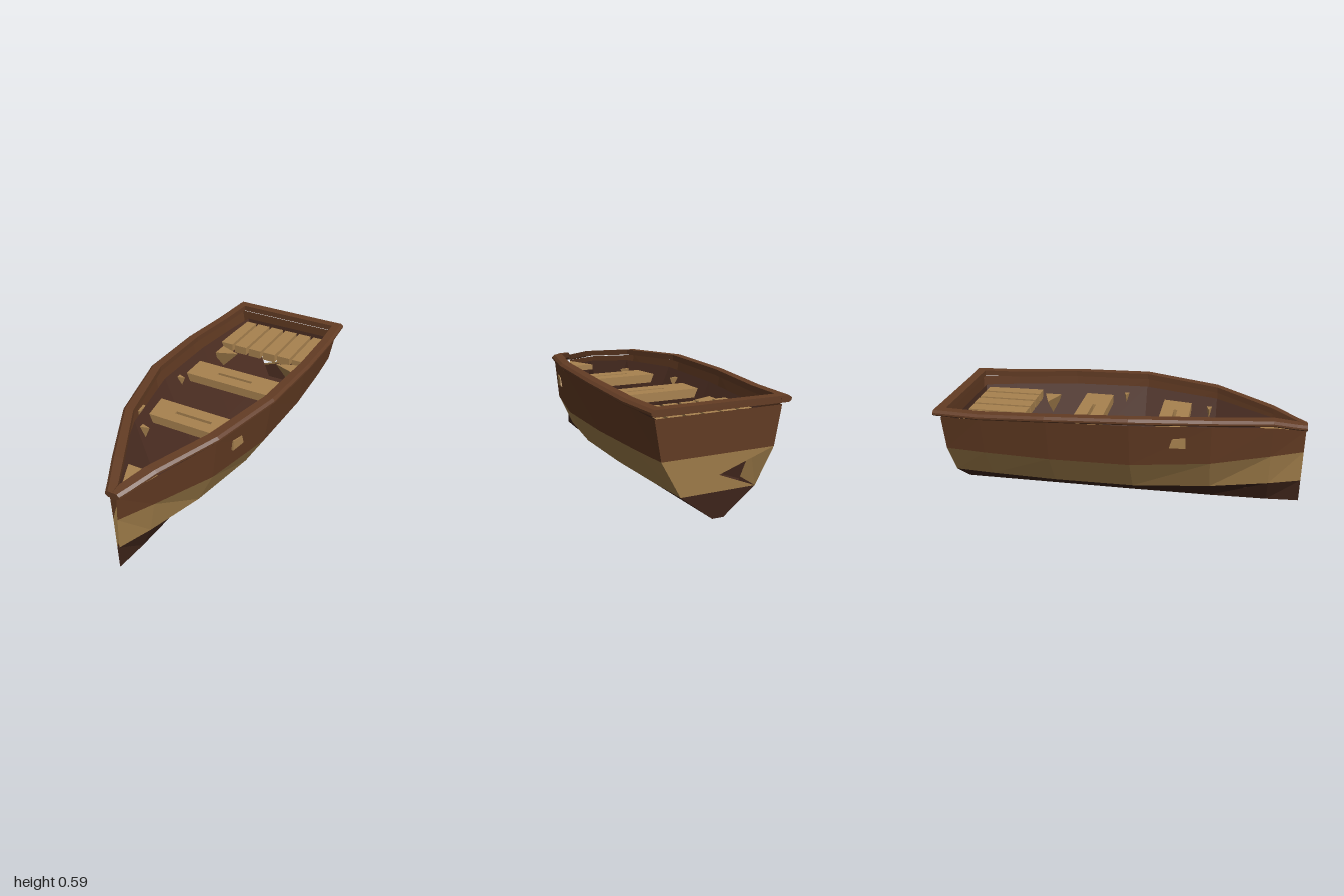
import * as THREE from 'three';

const mat = (color) => new THREE.MeshStandardMaterial({ color, flatShading: true, side: THREE.DoubleSide });
const brown = mat(0x613a22), gold = mat(0x9c7a48), dark = mat(0x3c2319), rim = mat(0x633c24), inside = mat(0x4c2e22), wood = mat(0xa8824f);

// hull stations: z, half-widths at the four levels, sheer height
const stations = [
  [-0.97, 0.03, 0.2, 0.3, 0.335, 0.508],
  [-0.74, 0.03, 0.215, 0.32, 0.352, 0.52],
  [-0.37, 0.03, 0.23, 0.34, 0.372, 0.54],
  [0.07, 0.03, 0.225, 0.333, 0.364, 0.55],
  [0.49, 0.025, 0.16, 0.245, 0.268, 0.532],
  [0.81, 0.015, 0.07, 0.1, 0.12, 0.487],
  [0.99, 0.002, 0.006, 0.012, 0.018, 0.442],
];
// rail stations: z, outer x, inner x, top height
const railStations = [
  [-1, 0.365, 0.305, 0.557], [-0.74, 0.382, 0.322, 0.557], [-0.37, 0.398, 0.34, 0.577], [0.07, 0.385, 0.325, 0.59],
  [0.49, 0.285, 0.222, 0.57], [0.81, 0.13, 0.062, 0.525], [0.94, 0.066, 0.003, 0.488], [0.995, 0.04, 0, 0.475],
];

function facesMesh(name, material, triangles) {
  const g = new THREE.BufferGeometry();
  g.setAttribute('position', new THREE.Float32BufferAttribute(triangles.flat(2), 3));
  g.computeVertexNormals();
  const m = new THREE.Mesh(g, material);
  m.name = name;
  return m;
}

const quad = (a, b, c, d) => [[a, b, c], [a, c, d]];

// surface between two rows of points
function strip(name, material, a, b) {
  const t = [];
  for (let i = 0; i < a.length - 1; i++) t.push(...quad(a[i], a[i + 1], b[i + 1], b[i]));
  return facesMesh(name, material, t);
}

// closed solid through a list of rings
function loft(name, material, rings) {
  const t = [], n = rings[0].length;
  for (let i = 0; i < rings.length - 1; i++)
    for (let j = 0; j < n; j++) {
      const k = (j + 1) % n;
      t.push(...quad(rings[i][j], rings[i][k], rings[i + 1][k], rings[i + 1][j]));
    }
  for (const r of [rings[0], rings[rings.length - 1]])
    for (let j = 1; j < n - 1; j++) t.push([r[0], r[j], r[j + 1]]);
  return facesMesh(name, material, t);
}

function box(name, material, w, h, d, x, y, z) {
  const m = new THREE.Mesh(new THREE.BoxGeometry(w, h, d), material);
  m.position.set(x, y, z);
  m.name = name;
  return m;
}

const outerRow = (level, s) => stations.map((p) => [s * p[1 + level], [0, 0.13, 0.31, p[5]][level], p[0]]);

// the lining leans straight out from the floor edge to just below the sheer
const innerRow = (level, s) => stations.map((p) => {
  const top = p[5] - 0.03, y = [0.08, 0.16, 0.31, top][level];
  const x = THREE.MathUtils.mapLinear(y, 0.08, top, p[2] * 0.52, p[4] * 0.82);
  return [s * x, y, THREE.MathUtils.clamp(p[0], -0.93, 0.95)];
});

// end wall; its middle band is a fan with one broken-out triangle
function addTransom(group, name, row, materials) {
  const [l, r] = [-1, 1].map((s) => [0, 1, 2, 3].map((k) => row(k, s)[0]));
  const c = [0, 0.21, l[0][2]];
  group.add(
    facesMesh(name + 'Bottom', materials[0], quad(l[0], r[0], r[1], l[1])),
    facesMesh(name + 'Band', materials[1], [[c, r[2], l[2]], [c, r[1], r[2]], [c, l[1], r[1]]]),
    facesMesh(name + 'Top', materials[2], quad(l[2], r[2], r[3], l[3])),
  );
}

export function createModel() {
  const boat = new THREE.Group();
  boat.name = 'rowingBoat';
  const bands = [dark, gold, brown], names = ['lowerHull', 'hullBand', 'upperHull'];

  // bottom, floor and stern walls; the bow keeps a narrow open slot
  boat.add(strip('keelBottom', dark, outerRow(0, -1), outerRow(0, 1)));
  boat.add(strip('floor', inside, innerRow(0, -1), innerRow(0, 1)));
  addTransom(boat, 'transom', outerRow, bands);
  addTransom(boat, 'innerTransom', innerRow, [inside, inside, inside]);

  for (const s of [-1, 1]) {
    const side = new THREE.Group();
    side.name = s > 0 ? 'leftSide' : 'rightSide';
    boat.add(side);

    // outer planking and inner lining
    for (let k = 0; k < 3; k++) side.add(strip(names[k], bands[k], outerRow(k, s), outerRow(k + 1, s)));
    side.add(strip('innerWall', inside, innerRow(0, s), innerRow(3, s)));

    // rail with chamfered outer edge
    side.add(loft('rail', rim, railStations.map(([z, o, i, y]) => [
      [s * i, y - 0.032, z], [s * (o - 0.012), y - 0.032, z], [s * o, y - 0.022, z],
      [s * o, y - 0.012, z], [s * (o - 0.015), y, z], [s * i, y, z],
    ])));

    // knee brackets: z, wall x, tip x, half-width, top, bottom
    for (const [z, x, tip, w, top, low] of [[-0.5, 0.26, 0.13, 0.05, 0.45, 0.31], [-0.05, 0.285, 0.24, 0.016, 0.48, 0.37], [0.45, 0.21, 0.155, 0.016, 0.455, 0.33]]) {
      const a = [s * x, top, z - w], b = [s * x, top, z + w], c = [s * tip, top, z], d = [s * x, low, z];
      side.add(facesMesh('kneeBracket', wood, [[a, b, c], [a, c, d], [c, b, d], [a, d, b]]));
    }

    // oar peg on the outside
    const peg = (dx) => [[0.36, 0.47, 0.286], [0.29, 0.465, 0.298], [0.275, 0.415, 0.3], [0.36, 0.41, 0.284]]
      .map(([z, y, x]) => [s * (x + dx), y, z]);
    side.add(loft('oarPeg', wood, [peg(-0.01), peg(0.01)]));
  }

  // stern rail
  boat.add(box('sternRail', rim, 0.7, 0.033, 0.055, 0, 0.5405, -0.972));

  // bench seats with a hand slot, their ends let into the lining
  for (const [z, w] of [[0.263, 0.575], [-0.213, 0.64]]) {
    const h = w / 2, shape = new THREE.Shape([[-h, -0.082], [h, -0.082], [h, 0.082], [-h, 0.082]].map((p) => new THREE.Vector2(...p)));
    shape.holes.push(new THREE.Path([[-0.11, -0.01], [-0.11, 0.01], [0.11, 0.01], [0.11, -0.01]].map((p) => new THREE.Vector2(...p))));
    const seat = new THREE.Mesh(new THREE.ExtrudeGeometry(shape, { depth: 0.05, bevelEnabled: false }), wood);
    seat.rotation.x = -Math.PI / 2;
    seat.position.set(0, 0.411, z);
    seat.name = 'benchSeat';
    boat.add(seat);
  }

  // slatted stern seat
  for (let i = 0; i < 6; i++) boat.add(box('sternSlat', wood, 0.08, 0.05, 0.34, (i - 2.5) * 0.098, 0.44, -0.74));

  // triangular bow plate
  const tri = (y) => [[-0.085, y, 0.745], [0.085, y, 0.745], [0, y, 0.94]];
  boat.add(loft('bowPlate', wood, [tri(0.41), tri(0.443)]));

  return boat;
}
